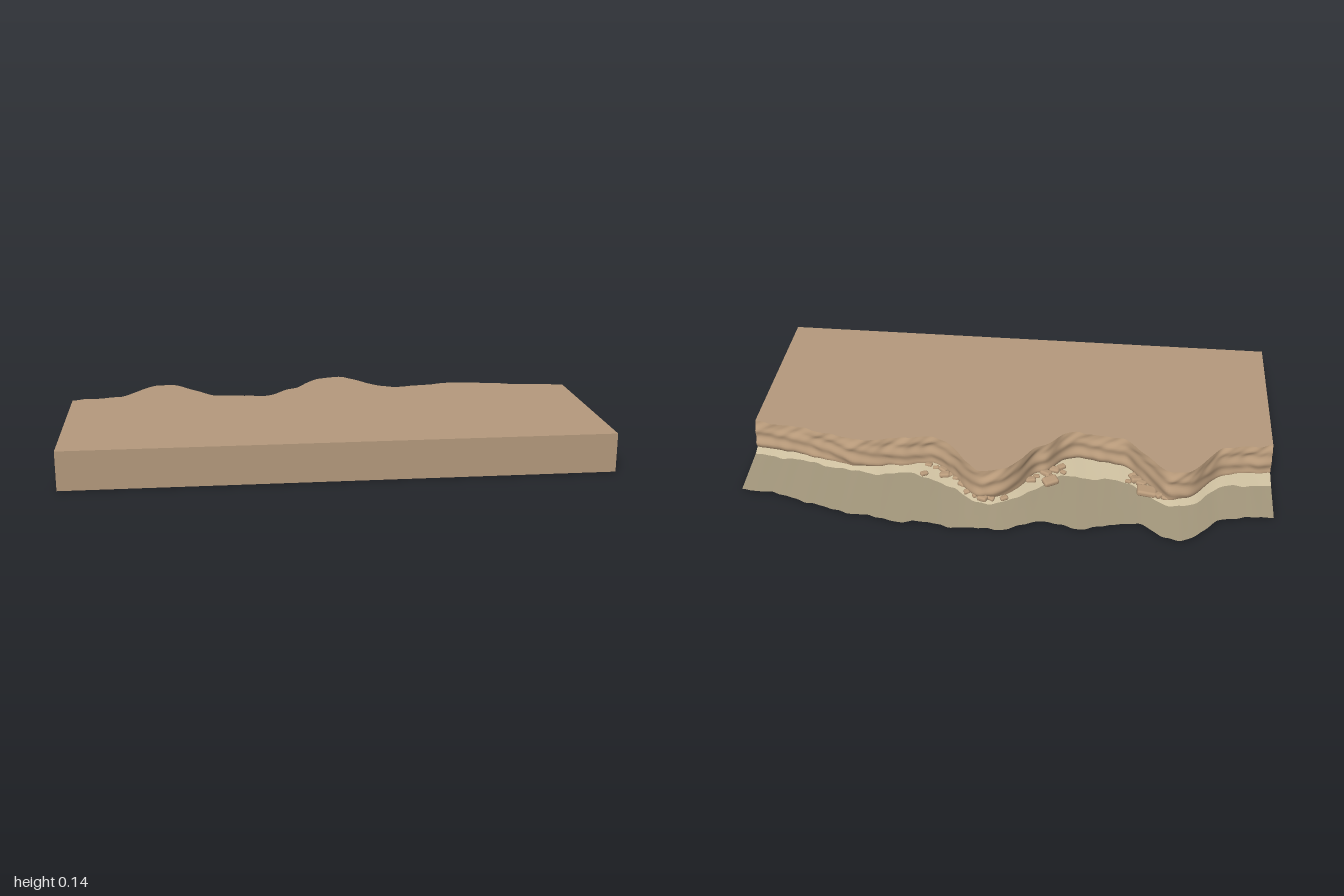
import * as THREE from 'three';
import { RoundedBoxGeometry } from 'three/addons/geometries/RoundedBoxGeometry.js';

const H = 0.145, FRONT = 0.543, COLS = 200, ROWS = 20;

// Depth (distance toward the back) at even steps from x = -1 to x = 1
const RIM = [.11, .125, .122, .135, .155, .22, .285, .305, .305, .25, .19, .13, .12, .115, .105, .095, .12, .185, .21, .29, .345,
  .365, .365, .315, .25, .205, .18, .185, .2, .205, .22, .225, .225, .215, .2, .19, .175, .17, .165, .155, .145];
const DRY = [.2, .21, .235, .335, .355, .265, .225, .225, .225, .315, .395, .4, .335, .28, .26, .275, .265, .245, .225, .21, .2];
const WET = [.37, .375, .4, .505, .515, .45, .465, .5, .475, .485, .53, .53, .53, .515, .52, .5, .485, .46, .425, .405, .395];

// Smooth curve through evenly spaced values
function along(list, x) {
  const n = list.length - 1;
  const f = THREE.MathUtils.clamp((x + 1) / 2, 0, 1) * n;
  const i = Math.min(Math.floor(f), n - 1), t = f - i;
  const p = k => list[THREE.MathUtils.clamp(k, 0, n)];
  const a = p(i - 1), b = p(i), c = p(i + 1), d = p(i + 2);
  return b + 0.5 * t * (c - a + t * (2 * a - 5 * b + 4 * c - d + t * (3 * (b - c) + d - a)));
}

const ripple = (x, s) => 0.5 * Math.sin(31 * x + s) + 0.3 * Math.sin(67 * x + 2.3 * s) + 0.2 * Math.sin(113 * x + 4.1 * s);

// Grid surface; the face points along du x dv
function sheet(nu, nv, at) {
  const pos = [], idx = [];
  for (let j = 0; j <= nv; j++) for (let i = 0; i <= nu; i++) pos.push(...at(i / nu, j / nv));
  for (let j = 0; j < nv; j++) for (let i = 0; i < nu; i++) {
    const a = j * (nu + 1) + i, b = a + 1, c = a + nu + 1, d = c + 1;
    idx.push(a, b, d, a, d, c);
  }
  const g = new THREE.BufferGeometry();
  g.setAttribute('position', new THREE.Float32BufferAttribute(pos, 3));
  g.setIndex(idx);
  g.computeVertexNormals();
  return g;
}

// Rock face: ledges bulge toward the foot, undercut at the very bottom
const BULGE = [0, .006, .01, .013, .017, .02, .022, .02, .004, -.012];
function cliffZ(x, y) {
  const t = 1 - y / H;
  const bulge = along(BULGE, t * 2 - 1);
  const rough = 0.005 * ripple(x + 0.03 * Math.sin(50 * y), 1 + 14 * y)
    + 0.004 * Math.sin(120 * y + 5 * Math.sin(5 * x)) * Math.min(1, 4 * t);
  return -(along(RIM, x) + bulge + rough);
}

const dryZ = x => -along(DRY, x) - 0.008 * ripple(x, 5);
const wetZ = x => -along(WET, x) - 0.008 * ripple(x, 9);
const dryY = x => 0.022 + 0.002 * ripple(x, 3);

export function createModel() {
  const group = new THREE.Group();
  const mat = (color, side = THREE.FrontSide) => new THREE.MeshStandardMaterial({ color, side });
  const earth = mat(0xb4997c), rock = mat(0xb89a7a);
  const add = (name, geo, material, parent = group) => {
    const m = new THREE.Mesh(geo, material);
    m.name = name;
    parent.add(m);
    return m;
  };
  const X = u => u * 2 - 1, mix = THREE.MathUtils.lerp;

  // Land slab
  add('landTop', sheet(COLS, 1, (u, v) => [X(u), H, mix(FRONT, cliffZ(X(u), H), v)]), earth);
  add('landUnderside', sheet(COLS, 1, (u, v) => [X(u), 0, mix(cliffZ(X(u), 0), FRONT, v)]), earth);
  add('landFront', sheet(1, 1, (u, v) => [X(u), v * H, FRONT]), earth);
  add('landLeftSide', sheet(1, ROWS, (u, v) => [1, v * H, mix(FRONT, cliffZ(1, v * H), u)]), earth);
  add('landRightSide', sheet(1, ROWS, (u, v) => [-1, v * H, mix(cliffZ(-1, v * H), FRONT, u)]), earth);

  // Cliff face along the back
  add('cliffFace', sheet(COLS, ROWS, (u, v) => [X(u), H * (1 - v), cliffZ(X(u), H * (1 - v))]), rock);

  // Beach: dry band at the foot of the cliff, wet band sloping out
  add('drySand', sheet(COLS, 4, (u, v) => {
    const x = X(u);
    return [x, mix(0.034, dryY(x), v), mix(cliffZ(x, 0.034) + 0.008, dryZ(x), v)];
  }), mat(0xcdbf9f, THREE.DoubleSide));
  add('wetSand', sheet(COLS, 6, (u, v) => {
    const x = X(u);
    return [x, mix(dryY(x), 0.006, v), mix(dryZ(x), wetZ(x), v)];
  }), mat(0xa1957a, THREE.DoubleSide));

  // Fallen boulders: x, z, size
  const boulders = new THREE.Group();
  boulders.name = 'boulders';
  group.add(boulders);
  [[-.53, -.29, .075], [-.58, -.305, .04], [-.6, -.32, .03], [-.51, -.245, .04], [-.49, -.225, .045], [-.475, -.2, .03],
    [-.53, -.235, .03], [-.46, -.235, .025], [-.165, -.265, .06], [-.09, -.265, .04], [-.145, -.22, .045], [-.175, -.195, .04],
    [-.2, -.175, .035], [-.16, -.235, .03], [-.21, -.205, .025], [-.11, -.24, .025], [0, -.38, .03], [.05, -.385, .03],
    [.08, -.39, .04], [.105, -.375, .03], [.14, -.355, .03], [.165, -.315, .035], [.19, -.28, .035], [.215, -.26, .03],
    [.24, -.265, .04], [.25, -.235, .035], [.28, -.225, .025], [.32, -.265, .03], [.31, -.21, .03]
  ].forEach(([x, z, s], i) => {
    const h = Math.min(0.024, s * 0.5);
    const b = add('boulder', new RoundedBoxGeometry(s, h, s * 0.7, 2, h * 0.4), rock, boulders);
    b.position.set(x, 0.027 + h * 0.25, z);
    b.rotation.set(0.15 * Math.sin(i * 2.1), 0.6 * Math.sin(i * 1.7), 0.15 * Math.cos(i * 3.3));
  });
  return group;
}
